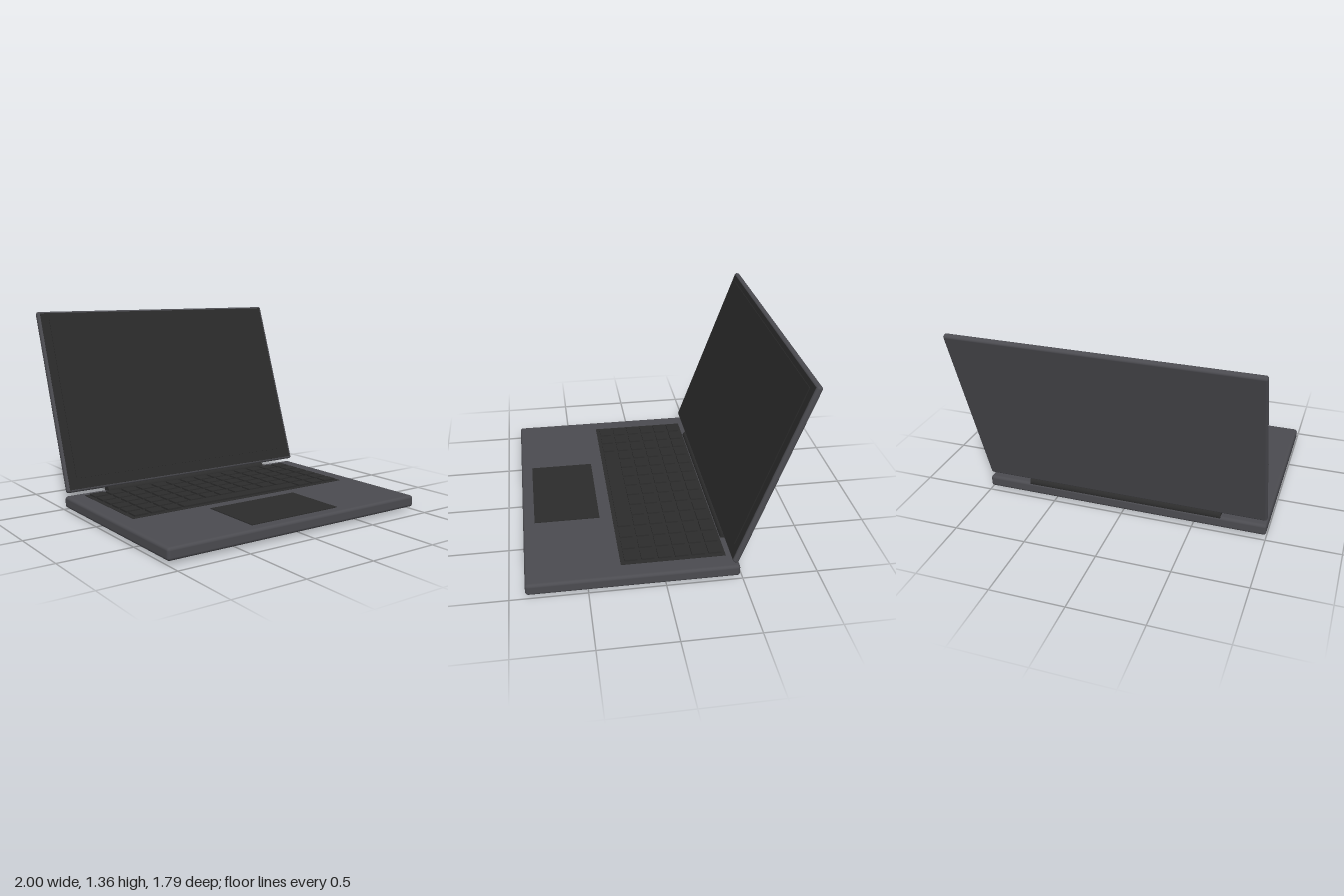
import * as THREE from 'three';
import { RoundedBoxGeometry } from 'three/addons/geometries/RoundedBoxGeometry.js';

const mat = (name, color) => {
  const m = new THREE.MeshStandardMaterial({ color });
  m.name = name;
  return m;
};

export function createModel() {
  const metal = mat('grey metal', 0x4b4b50);
  const dark = mat('dark plastic', 0x2c2c2c);
  const glass = mat('screen glass', 0x2a2a2a);
  const rubber = mat('rubber', 0x222222);

  const model = new THREE.Group();
  model.name = 'laptop';

  const add = (parent, name, geometry, material, x, y, z) => {
    const mesh = new THREE.Mesh(geometry, material);
    mesh.name = name;
    mesh.position.set(x, y, z);
    parent.add(mesh);
    return mesh;
  };
  const box = (w, h, d) => new THREE.BoxGeometry(w, h, d);

  // Base with softened edges
  add(model, 'base', new RoundedBoxGeometry(2, 0.08, 1.38, 3, 0.02), metal, 0, 0.06, 0.207);

  // Feet
  for (const x of [-0.815, 0.815])
    for (const z of [-0.355, 0.77])
      add(model, 'foot', box(0.15, 0.024, 0.055), rubber, x, 0.012, z);

  // Keyboard tray and touchpad
  add(model, 'keyboardTray', box(1.76, 0.006, 0.69), dark, 0, 0.1, -0.065);
  add(model, 'touchpad', box(0.7, 0.008, 0.45), dark, 0, 0.101, 0.592);

  // Keys: six rows of fourteen, with a space bar in the front row
  const keys = new THREE.Group();
  keys.name = 'keys';
  model.add(keys);
  const pitchX = 0.1235, pitchZ = 0.111;
  const keyGeo = box(0.1, 0.016, 0.086);
  for (let row = 0; row < 6; row++) {
    const z = -0.345 + row * pitchZ;
    for (let col = 0; col < 14; col++) {
      if (row === 5 && col > 2 && col < 11) continue;
      add(keys, 'key', keyGeo, dark, (col - 6.5) * pitchX, 0.107, z);
    }
  }
  add(keys, 'spaceBar', box(0.965, 0.016, 0.086), dark, 0, 0.107, -0.345 + 5 * pitchZ);

  // Hinge barrel
  const hingeGeo = new THREE.CylinderGeometry(0.033, 0.033, 1.38, 24);
  hingeGeo.rotateZ(Math.PI / 2);
  add(model, 'hinge', hingeGeo, dark, 0, 0.102, -0.448);

  // Lid leaning back from the hinge
  const lid = new THREE.Group();
  lid.name = 'lid';
  lid.position.set(0, 0.127, -0.445);
  lid.rotation.x = -0.341;
  model.add(lid);
  add(lid, 'lidShell', new RoundedBoxGeometry(2, 1.305, 0.04, 3, 0.016), metal, 0, 0.6525, 0);
  add(lid, 'bezel', box(1.96, 1.275, 0.006), glass, 0, 0.6525, 0.019);
  add(lid, 'screen', box(1.84, 1.165, 0.008), glass, 0, 0.6725, 0.023);

  return model;
}
